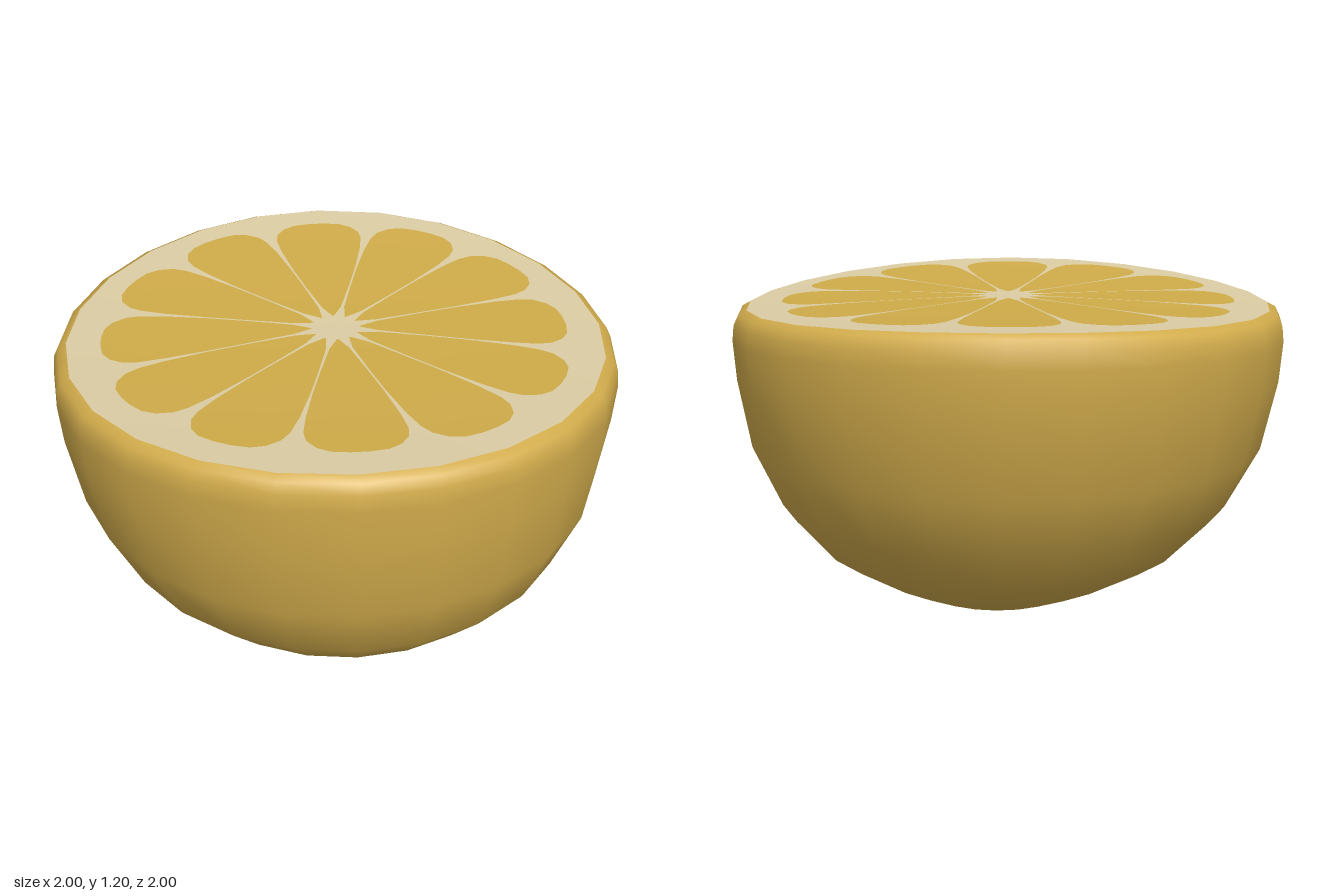
import * as THREE from 'three';
import { mergeVertices } from 'three/addons/utils/BufferGeometryUtils.js';

const SIDES = 24;

// Height of the slightly saddle-shaped cut face
const cutHeight = (x, z) => 1.175 + 0.03 * z * z - 0.022 * x * x;

// Builds a smooth surface from rows of points (equal length), facing up
function gridGeometry(rows) {
  const n = rows[0].length;
  const index = [];
  for (let i = 0; i < rows.length - 1; i++) {
    for (let j = 0; j < n - 1; j++) {
      const a = i * n + j, b = a + 1, c = a + n, d = c + 1;
      index.push(a, c, b, b, c, d);
    }
  }
  const geo = new THREE.BufferGeometry().setFromPoints(rows.flat());
  geo.setIndex(index);
  geo.computeVertexNormals();
  return geo;
}

// Rounded peel: a lathe bent to meet the cut face, with a lopsided lower half
function rindGeometry() {
  const profile = [
    [0, 0], [0.12, 0.015], [0.3, 0.068], [0.47, 0.138], [0.68, 0.26], [0.835, 0.43],
    [0.943, 0.66], [0.988, 0.92], [0.998, 1.07], [0.992, 1.125], [0.975, 1.16], [0.945, 1.175],
  ].map(([r, y]) => new THREE.Vector2(r, y));
  let geo = new THREE.LatheGeometry(profile, SIDES);
  const p = geo.attributes.position;
  for (let i = 0; i < p.count; i++) {
    const x = p.getX(i), y = p.getY(i), z = p.getZ(i);
    const bend = THREE.MathUtils.smoothstep(y, 0.7, 1.16);
    const low = Math.max(0, 1 - y / 1.07);
    const bulge = y < 0.8 ? 0.03 * Math.sin(Math.PI * y / 0.8) : 0;
    p.setXYZ(
      i,
      x + 0.045 * low * low,
      y + bend * (cutHeight(x, z) - 1.175),
      z + bulge - 0.04 * Math.max(0, 1 - y / 0.1),
    );
  }
  geo.deleteAttribute('uv');
  geo.deleteAttribute('normal');
  geo = mergeVertices(geo, 1e-4);
  geo.computeVertexNormals();
  return geo;
}

// Pale disc that closes the cut
function pithGeometry() {
  const rows = [0.001, 0.25, 0.5, 0.75, 0.945].map((r) =>
    Array.from({ length: SIDES + 1 }, (_, j) => {
      const a = (j / SIDES) * Math.PI * 2;
      const x = r * Math.sin(a), z = r * Math.cos(a);
      return new THREE.Vector3(x, cutHeight(x, z), z);
    }));
  return gridGeometry(rows);
}

// One juicy wedge, lying just above the pith: [distance from centre, half width]
const WEDGE = [
  [0.085, 0.002], [0.15, 0.034], [0.3, 0.077], [0.45, 0.117], [0.6, 0.151],
  [0.69, 0.165], [0.74, 0.16], [0.785, 0.132], [0.812, 0.09], [0.822, 0.03],
];
function wedgeGeometry(angle, scale) {
  const s = Math.sin(angle), c = Math.cos(angle);
  const rows = WEDGE.map(([d, w]) => {
    const r = d > 0.6 ? 0.6 + (d - 0.6) * scale : d;
    return [-w, 0, w].map((t) => {
      const x = r * s + t * c, z = r * c - t * s;
      return new THREE.Vector3(x, cutHeight(x, z) + 0.005, z);
    });
  });
  return gridGeometry(rows);
}

export function createModel() {
  const rindMat = new THREE.MeshStandardMaterial({ color: 0xd2ac4c });
  rindMat.name = 'rind gold';
  const pithMat = new THREE.MeshStandardMaterial({ color: 0xdccda4 });
  pithMat.name = 'pith cream';
  const fleshMat = new THREE.MeshStandardMaterial({ color: 0xd0ac49 });
  fleshMat.name = 'flesh amber';

  const model = new THREE.Group();
  model.name = 'halfCitrus';
  const add = (parent, name, geo, mat) => {
    const mesh = new THREE.Mesh(geo, mat);
    mesh.name = name;
    parent.add(mesh);
  };

  add(model, 'rind', rindGeometry(), rindMat);
  add(model, 'pith', pithGeometry(), pithMat);

  // Twelve wedges around the core
  const flesh = new THREE.Group();
  flesh.name = 'flesh';
  for (let i = 0; i < 12; i++) {
    const scale = i % 3 === 0 ? 1 : 1.06;
    add(flesh, `wedge${i + 1}`, wedgeGeometry((i / 12) * Math.PI * 2 + 0.02, scale), fleshMat);
  }
  model.add(flesh);
  return model;
}
